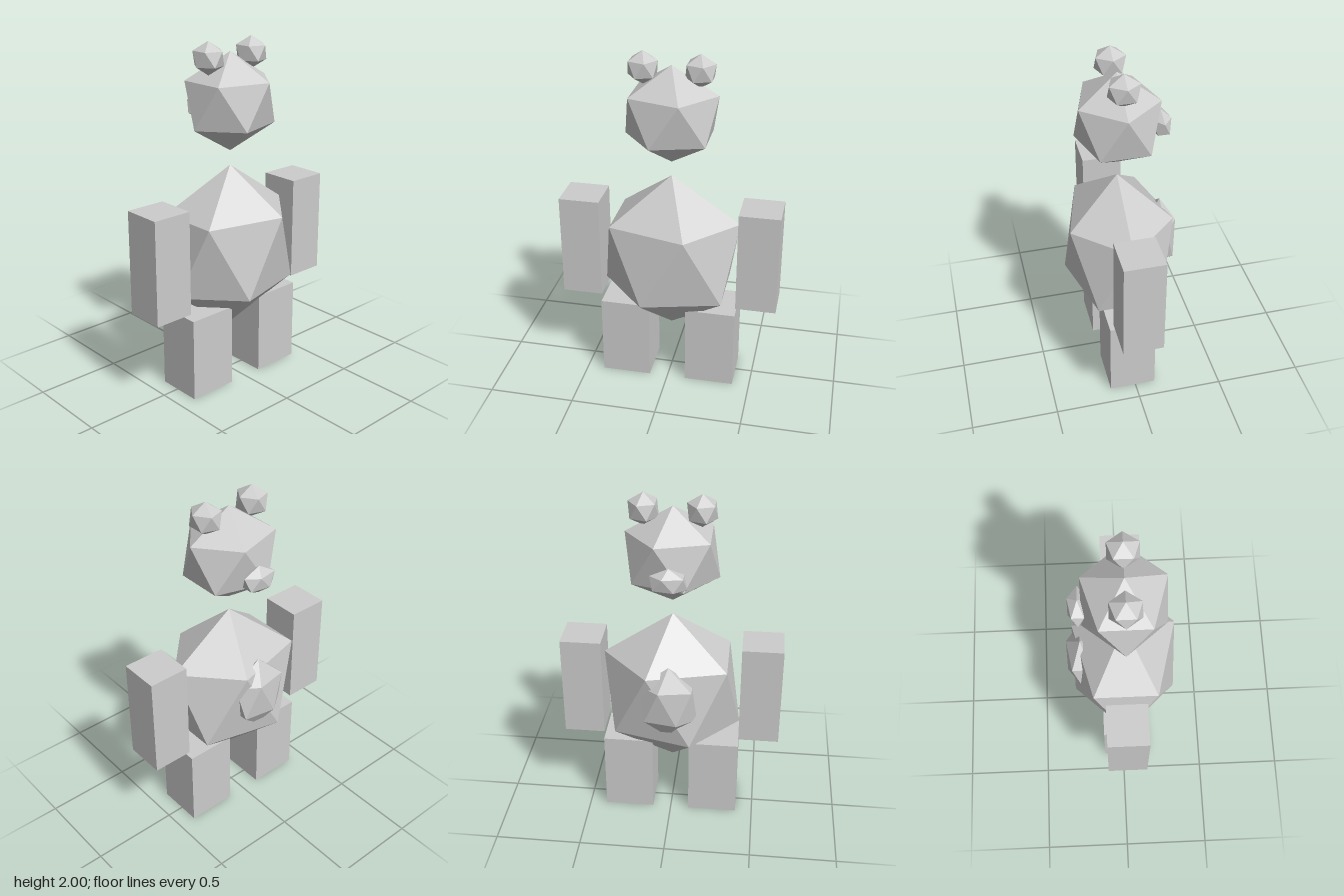
import * as THREE from 'three';

const grey = new THREE.MeshStandardMaterial({ color: 0xcccccc, flatShading: true });
grey.name = 'plain grey';

const DEPTH_CENTRE = 0.017;

// Icosahedron standing on a vertex: two five-sided rings between two tips.
// rx and rz are ring radii, ry is the half height.
function gemGeometry(rx, ry, rz) {
  const ringPoint = (step, y) => {
    const a = (step * Math.PI * 2) / 5;
    return [rx * Math.cos(a), y, rz * Math.sin(a)];
  };
  const ringY = ry / Math.sqrt(5);
  const upper = (i) => ringPoint(i, ringY);
  const lower = (i) => ringPoint(i + 0.5, -ringY);
  const top = [0, ry, 0];
  const bottom = [0, -ry, 0];
  const points = [];
  for (let i = 0; i < 5; i++) {
    points.push(
      top, upper(i + 1), upper(i),
      upper(i), upper(i + 1), lower(i),
      lower(i), upper(i + 1), lower(i + 1),
      bottom, lower(i), lower(i + 1)
    );
  }
  const geometry = new THREE.BufferGeometry();
  geometry.setAttribute('position', new THREE.Float32BufferAttribute(points.flat(), 3));
  geometry.computeVertexNormals();
  return geometry;
}

export function createModel() {
  const model = new THREE.Group();
  model.name = 'blockyBear';

  const add = (name, geometry, x, y, z) => {
    const mesh = new THREE.Mesh(geometry, grey);
    mesh.name = name;
    mesh.position.set(x, y, z);
    model.add(mesh);
  };

  // Body and floating head
  add('body', gemGeometry(0.398, 0.488, 0.313), 0, 0.803, DEPTH_CENTRE);
  add('head', gemGeometry(0.26, 0.277, 0.234), 0, 1.652, DEPTH_CENTRE);

  // Flattened lumps on the -z side of the body and head
  add('bellyPatch', gemGeometry(0.165, 0.231, 0.089), 0, 0.851, -0.233);
  add('snout', gemGeometry(0.1, 0.08, 0.056), 0, 1.597, -0.223);

  // Paired ears, arms and legs
  for (const [side, s] of [['left', 1], ['right', -1]]) {
    add(side + 'Ear', gemGeometry(0.083, 0.092, 0.087), s * 0.157, 1.908, DEPTH_CENTRE);
    add(side + 'Arm', new THREE.BoxGeometry(0.234, 0.605, 0.232), s * 0.516, 0.832, DEPTH_CENTRE);
    add(side + 'Leg', new THREE.BoxGeometry(0.29, 0.49, 0.272), s * 0.254, 0.245, DEPTH_CENTRE);
  }
  return model;
}
